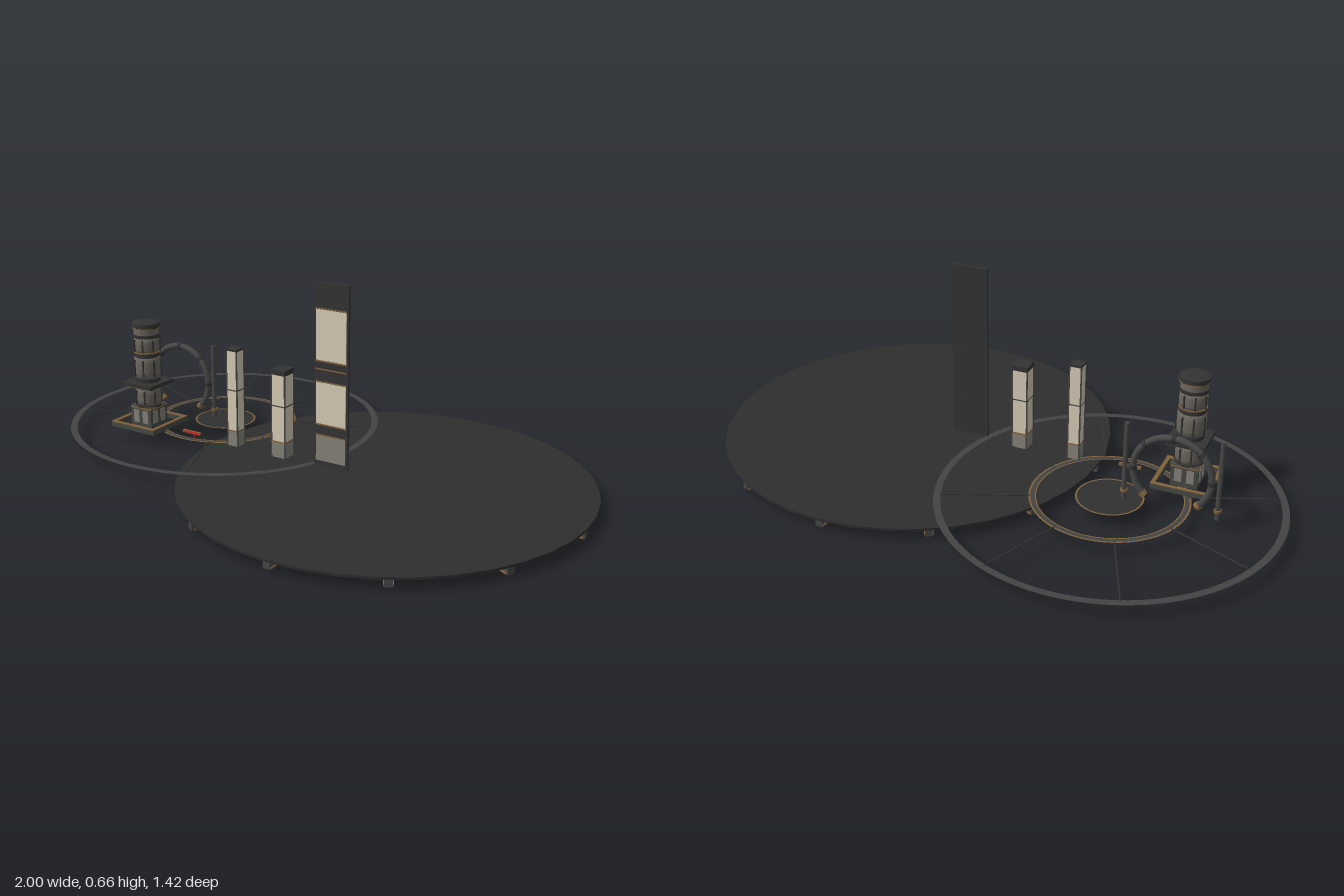
import * as THREE from 'three';

const mat = (color, side = THREE.FrontSide) => new THREE.MeshStandardMaterial({ color, side });
const DARK = mat(0x333333), STEEL = mat(0x464846), BRONZE = mat(0x80623a), CREAM = mat(0xd6cbb5);
const GREY = mat(0x85817a), BODY = mat(0x6b675f), RED = mat(0xc03028);
const FLAT_STEEL = mat(0x444444, THREE.DoubleSide), FLAT_DARK = mat(0x303030, THREE.DoubleSide);
const FLAT_BRONZE = mat(0x80623a, THREE.DoubleSide);
const FLOOR = 0.045;

function add(parent, name, geometry, material, x = 0, y = 0, z = 0) {
  const mesh = new THREE.Mesh(geometry, material);
  mesh.name = name;
  mesh.position.set(x, y, z);
  parent.add(mesh);
  return mesh;
}
function group(parent, name, x, y, z) {
  const g = new THREE.Group();
  g.name = name;
  g.position.set(x, y, z);
  parent.add(g);
  return g;
}
const box = (w, h, d) => new THREE.BoxGeometry(w, h, d);
const cyl = (r, h, n = 32, r2 = r) => new THREE.CylinderGeometry(r, r2, h, n);
// box spanning y0..y1
const slab = (p, name, w, y0, y1, d, m, x = 0, z = 0) => add(p, name, box(w, y1 - y0, d), m, x, (y0 + y1) / 2, z);

// Large round platform with radial beams and hub underneath
function platform(root) {
  const g = group(root, 'platform', 0.33, 0, 0.035);
  add(g, 'platformDeck', cyl(0.67, 0.008, 40), mat(0x2e2e2e), 0, 0.036, 0);
  for (let i = 0; i < 12; i++) {
    const arm = group(g, 'beam', 0, 0, 0);
    arm.rotation.y = i * Math.PI / 6;
    slab(arm, 'beamWeb', 0.56, 0.01, 0.034, 0.024, STEEL, 0.388);
    for (const s of [-1, 1]) slab(arm, 'beamTrim', 0.55, 0.011, 0.017, 0.004, BRONZE, 0.388, s * 0.0125);
  }
  const rim = add(g, 'hubRing', new THREE.TorusGeometry(0.107, 0.018, 12, 48), DARK, 0, 0.018, 0);
  rim.rotation.x = Math.PI / 2;
  add(g, 'hubPlate', cyl(0.1, 0.02, 40), DARK, 0, 0.024, 0);
  add(g, 'hubCap', cyl(0.045, 0.016, 32), BRONZE, 0, 0.014, 0);
}

// Flat floor plan of concentric rings and fine spokes
function floorRings(root) {
  const g = group(root, 'floorRings', -0.445, FLOOR, -0.158);
  const ring = (name, r0, r1, m, y = 0) => {
    add(g, name, new THREE.RingGeometry(r0, r1, 72), m, 0, y, 0).rotation.x = -Math.PI / 2;
  };
  ring('outerRing', 0.533, 0.556, FLAT_STEEL);
  ring('innerRing', 0.236, 0.25, FLAT_STEEL);
  ring('innerRingTrim', 0.25, 0.256, FLAT_BRONZE);
  ring('innerRingInsideTrim', 0.232, 0.236, FLAT_BRONZE);
  ring('centreTrim', 0.103, 0.109, FLAT_BRONZE);
  add(g, 'centreDisc', new THREE.CircleGeometry(0.103, 48), FLAT_DARK).rotation.x = -Math.PI / 2;
  for (let i = 0; i < 8; i++) {
    const a = (i + 0.5) * Math.PI / 4, r = 0.393;
    const s = add(g, 'spoke', box(0.29, 0.003, 0.004), DARK, r * Math.cos(a), 0, -r * Math.sin(a));
    s.rotation.y = a;
  }
}

// Tower of stacked drums on a square frame
function tower(root) {
  const g = group(root, 'tower', -0.64, 0, 0.037);
  for (let i = 0; i < 4; i++) {
    const side = group(g, 'footing', 0, 0, 0);
    side.rotation.y = i * Math.PI / 2;
    slab(side, 'frameBar', 0.192, 0.046, 0.063, 0.014, STEEL, 0, 0.089);
    slab(side, 'frameTrim', 0.192, 0.063, 0.066, 0.013, BRONZE, 0, 0.089);
    // base openings
    for (const x of [-0.02, 0.02]) slab(side, 'baseWindow', 0.024, 0.062, 0.108, 0.004, GREY, x, 0.045);
    slab(side, 'baseTrim', 0.09, 0.114, 0.119, 0.004, BRONZE, 0, 0.045);
  }
  slab(g, 'base', 0.09, FLOOR, 0.122, 0.09, STEEL);
  const drum = (y0, y1, r) => {
    const h = y1 - y0, pts = [[0, 0], [r * 0.8, 0], [r * 0.96, 0.12], [r, 0.3], [r, 0.7], [r * 0.96, 0.88], [r * 0.8, 1], [0, 1]]
      .map(([x, t]) => new THREE.Vector2(x, y0 + t * h));
    add(g, 'drum', new THREE.LatheGeometry(pts, 40), BODY);
    for (let i = 0; i < 8; i++) {
      const a = (i + 0.5) * Math.PI / 4;
      const rib = add(g, 'drumRib', box(0.005, h * 0.72, 0.008), DARK, r * Math.sin(a), (y0 + y1) / 2, r * Math.cos(a));
      rib.rotation.y = a;
    }
  };
  drum(0.122, 0.19, 0.046);
  drum(0.222, 0.305, 0.048);
  drum(0.315, 0.375, 0.046);
  for (const [y, h, r, m] of [[0.122, 0.008, 0.047, DARK], [0.19, 0.012, 0.042, DARK], [0.217, 0.014, 0.044, DARK],
    [0.31, 0.018, 0.043, DARK], [0.318, 0.004, 0.046, BRONZE], [0.378, 0.012, 0.046, DARK], [0.395, 0.024, 0.044, BODY],
    [0.408, 0.005, 0.049, BRONZE], [0.416, 0.016, 0.049, DARK]]) add(g, 'collar', cyl(r, h, 40), m, 0, y, 0);
  slab(g, 'balcony', 0.128, 0.196, 0.21, 0.128, DARK);
  slab(g, 'balconyTrim', 0.12, 0.193, 0.196, 0.12, BRONZE);
  const dome = add(g, 'dome', new THREE.SphereGeometry(0.046, 32, 8, 0, Math.PI * 2, 0, Math.PI / 2), DARK, 0, 0.423, 0);
  dome.scale.y = 0.13;
}

// Open ring gate between two posts
function gate(root) {
  const g = group(root, 'gate', -0.637, 0, -0.148);
  const R = 0.125, y = 0.167;
  const arc = add(g, 'gateArch', new THREE.TorusGeometry(R, 0.011, 12, 56, Math.PI * 1.5), STEEL, 0, y, 0);
  arc.rotation.z = -Math.PI / 4;
  for (let i = 0; i <= 6; i++) {
    const a = -Math.PI / 4 + i * Math.PI / 4, end = i === 0 || i === 6;
    const clamp = add(g, 'archClamp', cyl(0.0135, 0.014, 16), end ? BRONZE : DARK, R * Math.cos(a), y + R * Math.sin(a), 0);
    clamp.rotation.z = a;
  }
  for (const s of [-1, 1]) {
    add(g, 'post', cyl(0.008, 0.27, 16), STEEL, s * 0.15, 0.18, 0);
    add(g, 'postFoot', cyl(0.012, 0.008, 16), BRONZE, s * 0.15, 0.076, 0);
  }
}

// Small red marker bar
function marker(root) {
  const g = group(root, 'marker', -0.446, 0.051, 0.039);
  add(g, 'markerBar', box(0.076, 0.009, 0.008), BRONZE);
  add(g, 'markerFace', box(0.074, 0.008, 0.002), RED, 0, 0, 0.005);
  add(g, 'markerPointer', cyl(0.005, 0.016, 12, 0.001), RED, 0.01, -0.012, 0);
}

// Square pillar with grey foot, pale shaft and dark cap
function pillar(root, x, w, top, cap) {
  const g = group(root, 'pillar', x, 0, 0.037), h = w / 2;
  slab(g, 'pillarFoot', w, FLOOR, 0.1, w, GREY);
  slab(g, 'pillarShaft', w * 0.96, 0.1, top - cap, w * 0.96, CREAM);
  slab(g, 'pillarCap', w, top - cap, top, w, DARK);
  slab(g, 'footTrim', w * 1.02, 0.098, 0.102, w * 1.02, BRONZE);
  const mid = (top + 0.1) / 2;
  slab(g, 'shaftSeam', w * 0.99, mid - 0.002, mid + 0.002, w * 0.99, STEEL);
  for (const sx of [-1, 1]) for (const sz of [-1, 1])
    slab(g, 'cornerTrim', 0.004, FLOOR, top - cap, 0.004, STEEL, sx * (h - 0.0015), sz * (h - 0.0015));
}

// Tall thin panel: dark backing, pale inset faces and bronze lines
function banner(root) {
  const g = group(root, 'banner', 0.131, 0, 0.041);
  slab(g, 'bannerBack', 0.128, FLOOR, 0.66, 0.008, DARK);
  for (const [y0, y1, m] of [[0.062, 0.148, GREY], [0.19, 0.33, CREAM], [0.405, 0.572, CREAM]])
    slab(g, 'bannerInset', 0.112, y0, y1, 0.003, m, 0, 0.004);
  for (const y of [0.151, 0.187, 0.333, 0.375, 0.402, 0.575])
    slab(g, 'bannerLine', 0.116, y - 0.002, y + 0.002, 0.003, BRONZE, 0, 0.0045);
  for (const y of [0.168, 0.352, 0.652]) slab(g, 'bannerRail', 0.13, y - 0.008, y + 0.008, 0.011, DARK);
}

export function createModel() {
  const root = new THREE.Group();
  root.name = 'stationModel';
  platform(root);
  floorRings(root);
  tower(root);
  gate(root);
  marker(root);
  pillar(root, -0.254, 0.043, 0.39, 0.008);
  pillar(root, -0.062, 0.055, 0.35, 0.018);
  banner(root);
  return root;
}
